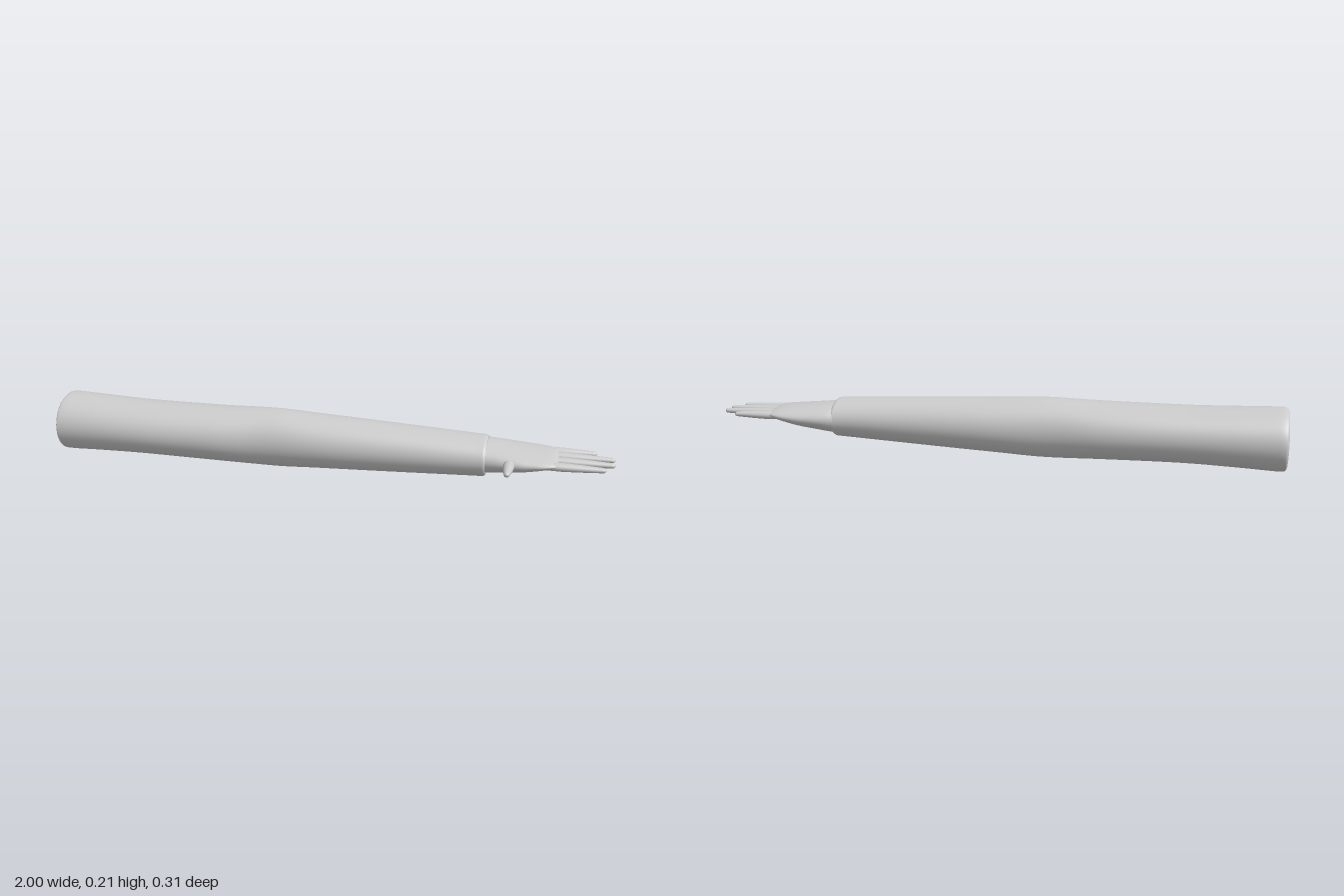
import * as THREE from 'three';

const SIDES = 48;

// Smooth loft along x through elliptical sections [x, yLow, yHigh, zBack, zFront], with flat end caps.
function loft(name, sections, steps) {
  const at = (t) => {
    const f = t * (sections.length - 1);
    const i = Math.min(Math.floor(f), sections.length - 2);
    const k = f - i;
    const s = (j) => sections[Math.max(0, Math.min(sections.length - 1, j))];
    return sections[0].map((_, c) => {
      const [a, b, d, e] = [s(i - 1)[c], s(i)[c], s(i + 1)[c], s(i + 2)[c]];
      // limited slopes keep the outline free of overshoot
      const slope = (p, q) => (p * q <= 0 ? 0 : (2 * p * q) / (p + q));
      const m0 = i === 0 ? d - b : slope(b - a, d - b);
      const m1 = i === sections.length - 2 ? d - b : slope(d - b, e - d);
      const k2 = k * k, k3 = k2 * k;
      return (2 * k3 - 3 * k2 + 1) * b + (k3 - 2 * k2 + k) * m0 + (3 * k2 - 2 * k3) * d + (k3 - k2) * m1;
    });
  };
  const pos = [], index = [];
  const ring = ([x, y0, y1, z0, z1]) => {
    const start = pos.length / 3;
    for (let j = 0; j < SIDES; j++) {
      const a = (j / SIDES) * Math.PI * 2;
      pos.push(x, (y0 + y1) / 2 + Math.cos(a) * (y1 - y0) / 2, (z0 + z1) / 2 + Math.sin(a) * (z1 - z0) / 2);
    }
    return start;
  };
  const n = (sections.length - 1) * steps;
  for (let i = 0; i <= n; i++) ring(at(i / n));
  for (let i = 0; i < n; i++) {
    for (let j = 0; j < SIDES; j++) {
      const a = i * SIDES + j, b = i * SIDES + (j + 1) % SIDES;
      index.push(a, b, a + SIDES, b, b + SIDES, a + SIDES);
    }
  }
  // caps get their own vertices so the rim stays sharp
  [[sections[0], true], [sections[sections.length - 1], false]].forEach(([s, atStart]) => {
    const r = ring(s), c = pos.length / 3;
    pos.push(s[0], (s[1] + s[2]) / 2, (s[3] + s[4]) / 2);
    for (let j = 0; j < SIDES; j++) {
      const a = r + j, b = r + (j + 1) % SIDES;
      if (atStart) index.push(c, b, a);
      else index.push(c, a, b);
    }
  });
  const g = new THREE.BufferGeometry();
  g.setAttribute('position', new THREE.Float32BufferAttribute(pos, 3));
  g.setIndex(index);
  g.computeVertexNormals();
  return mesh(name, g);
}

function mesh(name, geometry) {
  const m = new THREE.Mesh(geometry, new THREE.MeshStandardMaterial({ color: 0xcccccc }));
  m.name = name;
  return m;
}

// Tapered, round-tipped digit pointing along +y before it is placed.
function digit(name, length, base, tip, flat) {
  const profile = [new THREE.Vector2(base * 0.9, 0), new THREE.Vector2(base, length * 0.3),
    new THREE.Vector2(base * 0.85, length * 0.6)];
  for (let i = 0; i <= 8; i++) {
    const a = (i / 8) * Math.PI / 2;
    profile.push(new THREE.Vector2(Math.max(0, tip * Math.cos(a)), length - tip + tip * Math.sin(a)));
  }
  const g = new THREE.LatheGeometry(profile, 24);
  g.scale(flat, 1, 1);
  return mesh(name, g);
}

export function createModel() {
  const arm = new THREE.Group();
  arm.name = 'arm';

  // Long sleeved arm, slightly rounded at both ends
  arm.add(loft('sleeve', [
    [-1, 0.01, 0.207, -0.146, 0.08],
    [-0.993, 0.003, 0.214, -0.155, 0.089],
    [-0.97, 0.002, 0.216, -0.157, 0.09],
    [-0.85, 0.007, 0.212, -0.155, 0.092],
    [-0.65, 0.012, 0.207, -0.151, 0.094],
    [-0.4, 0.009, 0.209, -0.145, 0.086],
    [-0.2, 0.005, 0.215, -0.135, 0.069],
    [0, 0.014, 0.206, -0.138, 0.07],
    [0.3, 0.028, 0.193, -0.13, 0.065],
    [0.53, 0.04, 0.182, -0.125, 0.062],
    [0.565, 0.042, 0.18, -0.126, 0.063],
    [0.573, 0.047, 0.175, -0.122, 0.059],
  ], 6));

  // Hand: thick at the wrist, flattening to the knuckles
  arm.add(loft('hand', [
    [0.55, 0.053, 0.171, -0.122, 0.055],
    [0.59, 0.058, 0.167, -0.133, 0.059],
    [0.64, 0.066, 0.161, -0.139, 0.066],
    [0.7, 0.076, 0.154, -0.141, 0.071],
    [0.75, 0.089, 0.148, -0.138, 0.071],
    [0.785, 0.1, 0.143, -0.13, 0.067],
    [0.805, 0.108, 0.137, -0.12, 0.06],
    [0.813, 0.114, 0.13, -0.108, 0.05],
  ], 5));

  // Four fingers: [z at knuckle, z at tip, tip x]
  [[0.043, 0.037, 0.97], [-0.01, -0.014, 1], [-0.06, -0.064, 1], [-0.105, -0.111, 0.94]].forEach(([z0, z1, x1], i) => {
    const x0 = 0.765;
    const f = digit('finger' + (i + 1), Math.hypot(x1 - x0, z1 - z0), 0.018, 0.011, 0.8);
    // local y runs along the finger, local x becomes height
    f.rotation.set(0, -Math.atan2(z1 - z0, x1 - x0), -Math.PI / 2);
    f.position.set(x0, 0.119, z0);
    arm.add(f);
  });

  // Thumb sticking out to the front side
  const thumb = digit('thumb', 0.118, 0.019, 0.011, 1);
  thumb.geometry.scale(1, 1, 0.85);
  thumb.rotation.x = Math.PI / 2;
  thumb.position.set(0.654, 0.118, 0.04);
  arm.add(thumb);

  return arm;
}
